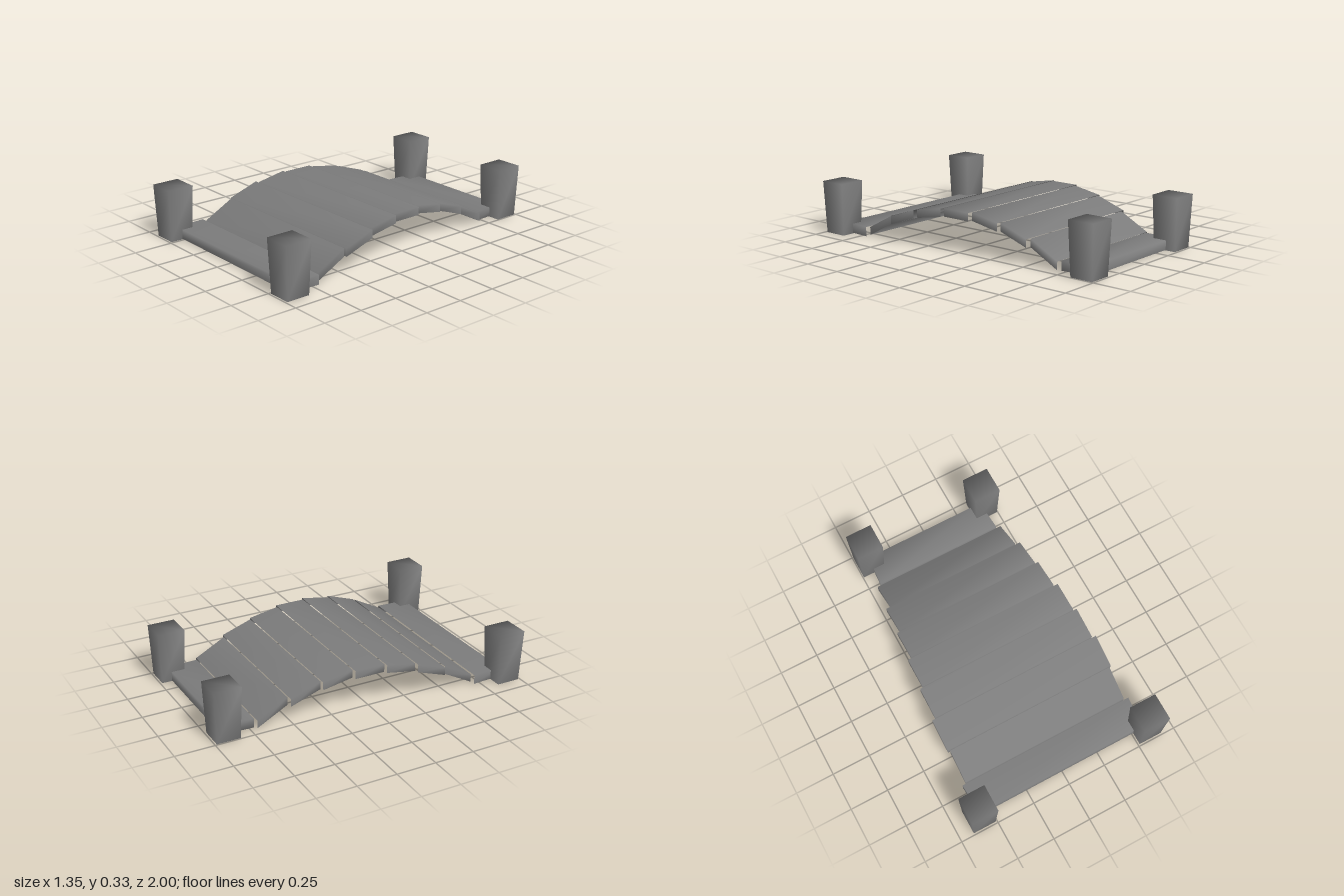
import * as THREE from 'three';
import { mergeVertices } from 'three/addons/utils/BufferGeometryUtils.js';

const material = new THREE.MeshStandardMaterial({ color: 0x7c7c7c, side: THREE.DoubleSide });

// Order of the faces in a box geometry
const FACES = ['+x', '-x', '+y', '-y', '+z', '-z'];

// Open shell: a unit box without the given faces, corners welded and
// moved by a rule, with smooth normals
function shell(name, openFaces, rule) {
  let geo = new THREE.BoxGeometry(1, 1, 1);
  const index = Array.from(geo.index.array);
  geo.setIndex(index.filter((_, i) => !openFaces.includes(FACES[Math.floor(i / 6)])));
  geo.clearGroups();
  geo.deleteAttribute('uv');
  geo.deleteAttribute('normal');
  geo = mergeVertices(geo);
  const p = geo.attributes.position;
  for (let i = 0; i < p.count; i++) {
    p.setXYZ(i, ...rule(p.getX(i), p.getY(i), p.getZ(i)));
  }
  geo.computeVertexNormals();
  const mesh = new THREE.Mesh(geo, material);
  mesh.name = name;
  return mesh;
}

export function createModel() {
  const bridge = new THREE.Group();
  bridge.name = 'footbridge';

  // Arched deck: boards run back to front, growing wider toward the front
  const deck = new THREE.Group();
  deck.name = 'deck';
  const pitch = 0.2025, length = 0.195, thick = 0.051, centre = -0.007;
  const halfWidths = [0.425, 0.452, 0.483, 0.503, 0.529, 0.55, 0.574, 0.561, 0.587];
  // Top height at each joint, counted outward from the middle board
  const jointTops = [0.265, 0.23, 0.163, 0.06];

  halfWidths.forEach((half, i) => {
    const k = i - 4, dir = Math.sign(k), n = Math.abs(k);
    const mid = centre + k * pitch;
    if (n === 4) {
      // Flat landing boards, slightly narrower at the outer edge
      const open = dir > 0 ? ['-y', '-z'] : ['-y'];
      deck.add(shell('landingBoard', open, (x, y, z) => [
        x * 2 * (half - (z * dir > 0 ? 0.013 : 0)),
        y > 0 ? 0.063 : 0.003,
        mid + dir * 0.005 + z * 0.201,
      ]));
      return;
    }
    // Sloping boards, open below and behind, keep vertical ends
    const inner = jointTops[Math.max(n - 1, 0)], outer = jointTops[n];
    deck.add(shell('archBoard', ['-y', '-z'], (x, y, z) => [
      x * 2 * half,
      (z * dir > 0 ? outer : inner) - (y > 0 ? 0 : thick),
      mid + z * length,
    ]));
  });
  bridge.add(deck);

  // Corner posts, open below and tapering toward the ground
  for (const [end, postX, postZ] of [['front', 0.586, 0.913], ['back', 0.419, -0.913]]) {
    for (const side of [1, -1]) {
      const post = shell(`${end}${side > 0 ? 'Left' : 'Right'}Post`, ['-y'], (x, y, z) => {
        const w = y > 0 ? 0.174 : 0.15;
        return [x * w, (y + 0.5) * 0.334, z * w];
      });
      post.position.set(side * postX, 0, postZ);
      bridge.add(post);
    }
  }
  return bridge;
}
